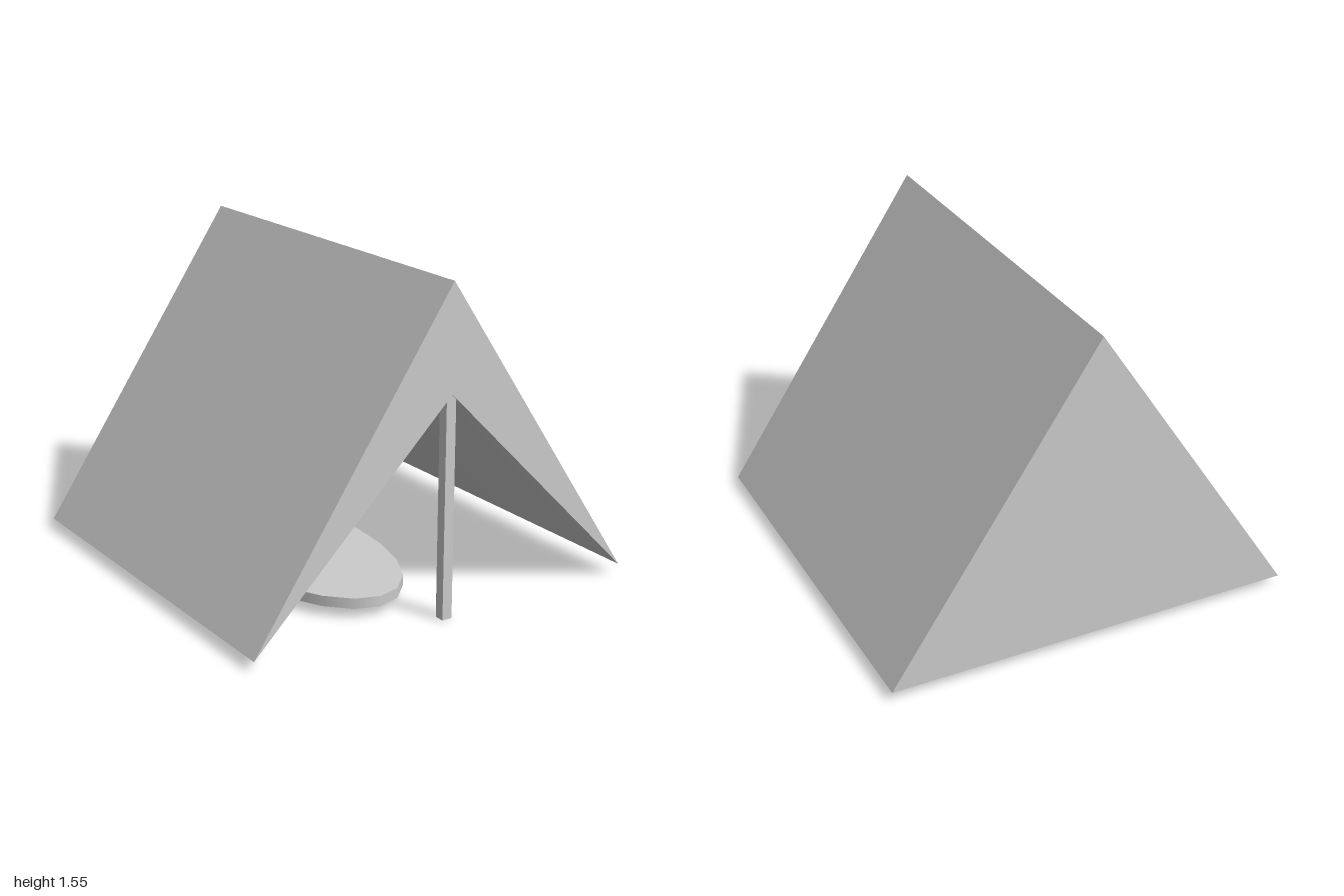
import * as THREE from 'three';

const material = new THREE.MeshStandardMaterial({ color: 0xcccccc, side: THREE.DoubleSide });

function part(name, geometry, parent) {
  const mesh = new THREE.Mesh(geometry, material);
  mesh.name = name;
  parent.add(mesh);
  return mesh;
}

// Surface from 3D corners, fanned from the first one, counter-clockwise from its front
function panel(...corners) {
  const index = [];
  for (let i = 1; i < corners.length - 1; i++) index.push(0, i, i + 1);
  const geometry = new THREE.BufferGeometry();
  geometry.setAttribute('position', new THREE.Float32BufferAttribute(corners.flat(), 3));
  geometry.setIndex(index);
  geometry.computeVertexNormals();
  return geometry;
}

export function createModel() {
  const model = new THREE.Group();
  model.name = 'tent';
  const eave = 0.05, top = 1.55, opening = 1.05;

  // Canvas: two slopes, closed back and chevron-shaped front
  const canvas = new THREE.Group();
  canvas.name = 'canvas';
  model.add(canvas);
  part('leftSlope', panel([0, top, 1], [1, eave, 1], [1, eave, -1], [0, top, -1]), canvas);
  part('rightSlope', panel([0, top, 1], [0, top, -1], [-1, eave, -1], [-1, eave, 1]), canvas);
  part('backWall', panel([0, top, -1], [1, eave, -1], [-1, eave, -1]), canvas);
  part('frontLeft', panel([0, top, 1], [0, opening, 1], [1, eave, 1]), canvas);
  part('frontRight', panel([0, top, 1], [-1, eave, 1], [0, opening, 1]), canvas);

  // Inner lining: ridge level at the opening, then falling to the back edge
  const ridge = [[0, opening, 1], [0, opening, 0.69], [0, 0.38, -0.54], [0, eave, -1]];
  part('leftLining', panel([1, eave, -1], [1, eave, 1], ...ridge), canvas);
  part('rightLining', panel([-1, eave, -1], ...ridge.toReversed(), [-1, eave, 1]), canvas);

  // Pole in the opening
  const pole = part('pole', new THREE.BoxGeometry(0.05, 1.05, 0.05), model);
  pole.position.set(0.003, 0.525, 0.965);

  // Oval sleeping mat
  const mat = part('mat', new THREE.CylinderGeometry(1, 1, 0.05, 20), model);
  mat.scale.set(0.375, 1, 0.75);
  mat.position.set(-0.225, 0.072, 0.05);

  return model;
}
